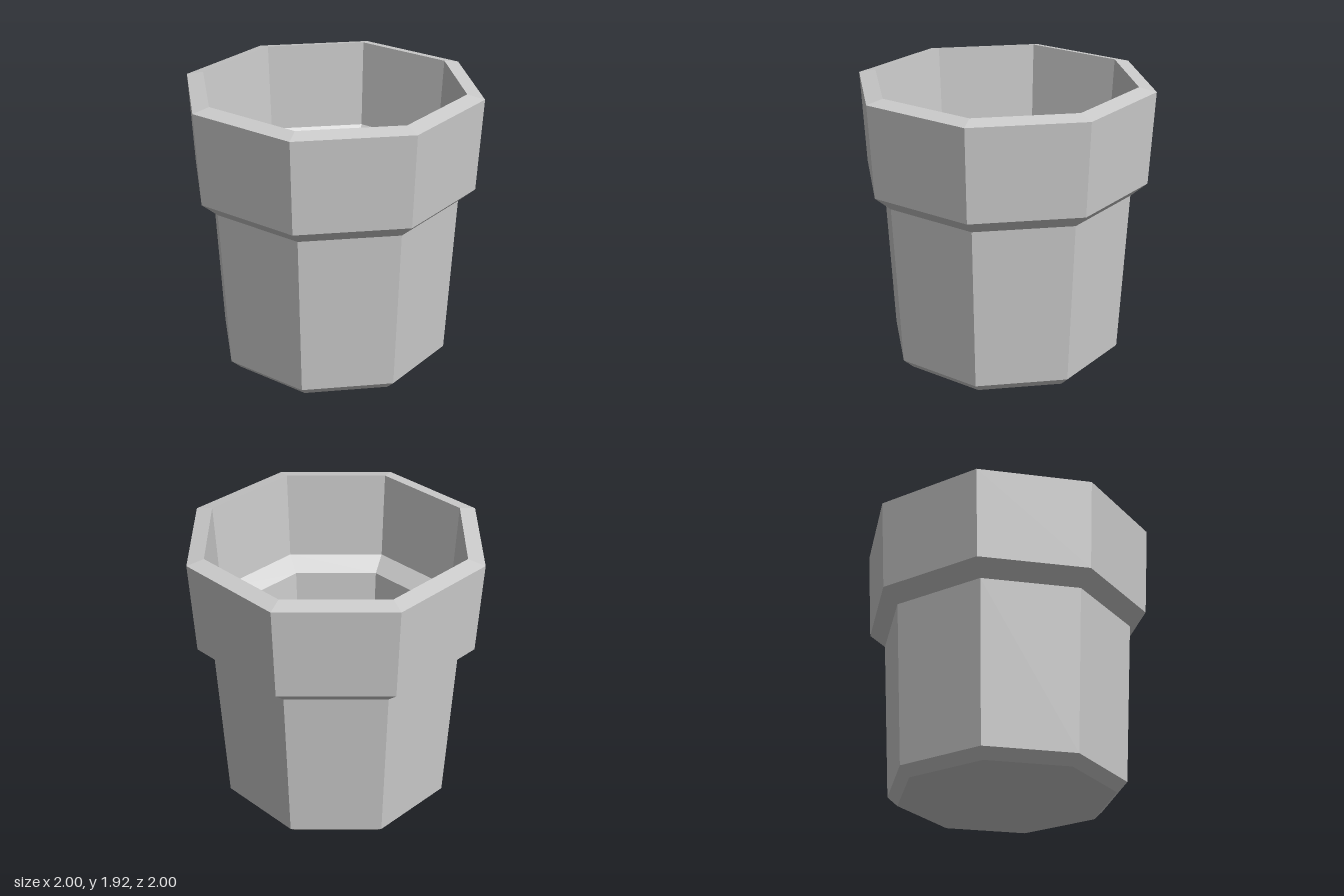
import * as THREE from 'three';

export function createModel() {
  const group = new THREE.Group();
  group.name = 'flowerPot';
  const material = new THREE.MeshStandardMaterial({ color: 0xcccccc, flatShading: true });

  // closed profile [radius, height]: underside, outer wall, rim, inner wall, inner floor
  const profile = [
    [0, 0], [0.725, 0], [0.795, 0.065], [0.855, 1.175], [0.965, 1.27], [1, 1.895],
    [0.885, 1.92], [0.85, 1.315], [0.74, 1.22], [0.685, 0.115], [0.615, 0.05], [0, 0.05],
  ].map(([r, y]) => new THREE.Vector2(r, y));

  // eight-sided hollow pot with corners on the axes
  const pot = new THREE.Mesh(new THREE.LatheGeometry(profile, 8), material);
  pot.name = 'pot';
  group.add(pot);
  return group;
}
